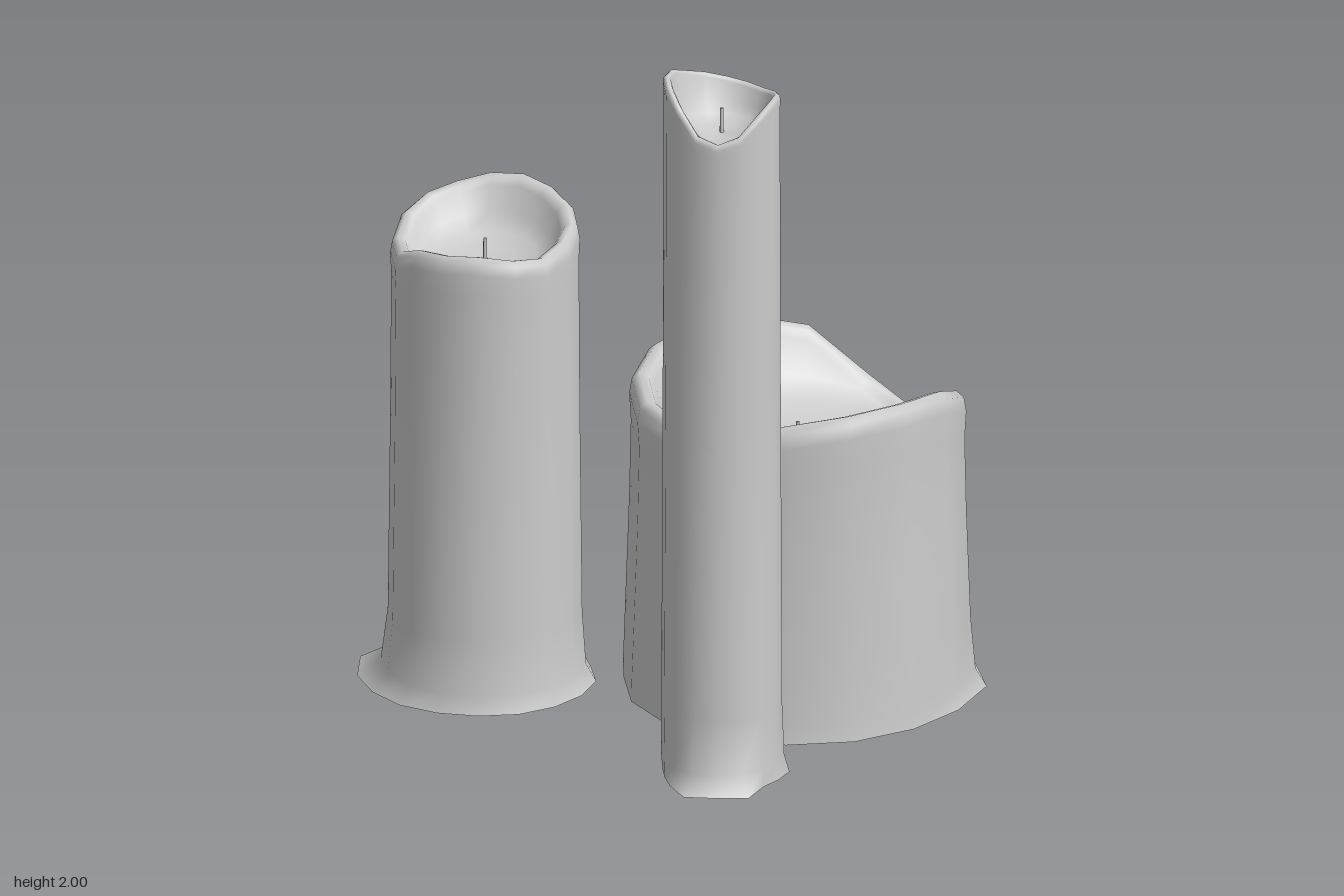
import * as THREE from 'three';

const SIDES = 16;
const material = new THREE.MeshStandardMaterial({ color: 0xcccccc, side: THREE.DoubleSide });

// rim: lip height and base: foot radius, both listed every 22.5 degrees from +x towards +z
const candles = [
  {
    name: 'wideCandle', x: 0.18, z: -0.19, radius: 0.455, lip: 0.045, pool: 0.67, wick: 0.75,
    rim: [0.925, 0.92, 0.9, 0.86, 0.845, 0.86, 0.88, 0.9, 0.91, 0.9, 0.865, 0.74, 0.67, 0.75, 0.85, 0.91],
    base: [0.475, 0.478, 0.48, 0.478, 0.475, 0.473, 0.47, 0.483, 0.485, 0.49, 0.52, 0.505, 0.55, 0.5, 0.51, 0.483],
  },
  {
    name: 'mediumCandle', x: -0.39, z: 0.43, radius: 0.256, lip: 0.035, pool: 1.21, wick: 1.27,
    rim: [1.28, 1.29, 1.305, 1.3, 1.295, 1.26, 1.27, 1.31, 1.335, 1.35, 1.37, 1.375, 1.36, 1.34, 1.32, 1.3],
    base: [0.285, 0.285, 0.284, 0.29, 0.305, 0.32, 0.345, 0.375, 0.365, 0.33, 0.305, 0.3, 0.3, 0.3, 0.3, 0.29],
  },
  {
    name: 'tallCandle', x: 0.545, z: 0.4, radius: 0.159, lip: 0.014, pool: 1.84, wick: 1.91,
    rim: [1.93, 1.88, 1.86, 1.88, 1.945, 1.99, 2, 1.995, 1.975, 1.96, 1.945, 1.935, 1.93, 1.94, 1.955, 1.955],
    base: [0.17, 0.226, 0.215, 0.23, 0.185, 0.163, 0.16, 0.165, 0.17, 0.17, 0.167, 0.165, 0.17, 0.175, 0.183, 0.17],
  },
];

// Profile [radius, height] of one side: flared foot, wall, rounded lip, then the melted hollow
function profile({ radius, lip, pool }, rim, base) {
  const inner = radius - lip * 1.5;
  const drop = rim - lip * 0.7 - pool;
  return [
    [base, 0],
    [radius * 1.03 + 0.2 * (base - radius), 0.05],
    [radius * 1.025, 0.2],
    [radius, rim * 0.6],
    [radius * 0.99, rim - lip * 3],
    [radius, rim - lip * 1.3],
    [radius - lip * 0.15, rim - lip * 0.4],
    [radius - lip * 0.6, rim],
    [radius - lip * 1.15, rim - lip * 0.2],
    [inner, rim - lip * 0.7],
    [inner * 0.88, pool + drop * 0.5],
    [inner * 0.7, pool + drop * 0.2],
    [inner * 0.4, pool + drop * 0.05],
    [0, pool],
  ];
}

function waxGeometry(candle) {
  const columns = candle.rim.map((rim, j) => profile(candle, rim, candle.base[j]));
  const rows = columns[0].length;
  const positions = [];
  const index = [];
  for (let i = 0; i < rows; i++) {
    for (let j = 0; j < SIDES; j++) {
      const angle = (j / SIDES) * Math.PI * 2;
      const [r, y] = columns[j][i];
      positions.push(r * Math.cos(angle), y, r * Math.sin(angle));
      if (i === rows - 1) continue;
      const a = i * SIDES + j;
      const b = i * SIDES + ((j + 1) % SIDES);
      index.push(a, a + SIDES, b);
      if (i < rows - 2) index.push(b, a + SIDES, b + SIDES);
    }
  }
  const geometry = new THREE.BufferGeometry();
  geometry.setAttribute('position', new THREE.Float32BufferAttribute(positions, 3));
  geometry.setIndex(index);
  geometry.computeVertexNormals();
  return geometry;
}

export function createModel() {
  const model = new THREE.Group();
  model.name = 'candles';
  for (const candle of candles) {
    const group = new THREE.Group();
    group.name = candle.name;
    group.position.set(candle.x, 0, candle.z);

    const wax = new THREE.Mesh(waxGeometry(candle), material);
    wax.name = 'wax';

    // Thin wick rising from the hollow
    const height = candle.wick - candle.pool + 0.01;
    const wick = new THREE.Mesh(new THREE.CylinderGeometry(0.005, 0.006, height, 6), material);
    wick.name = 'wick';
    wick.position.y = candle.wick - height / 2;

    group.add(wax, wick);
    model.add(group);
  }
  return model;
}
